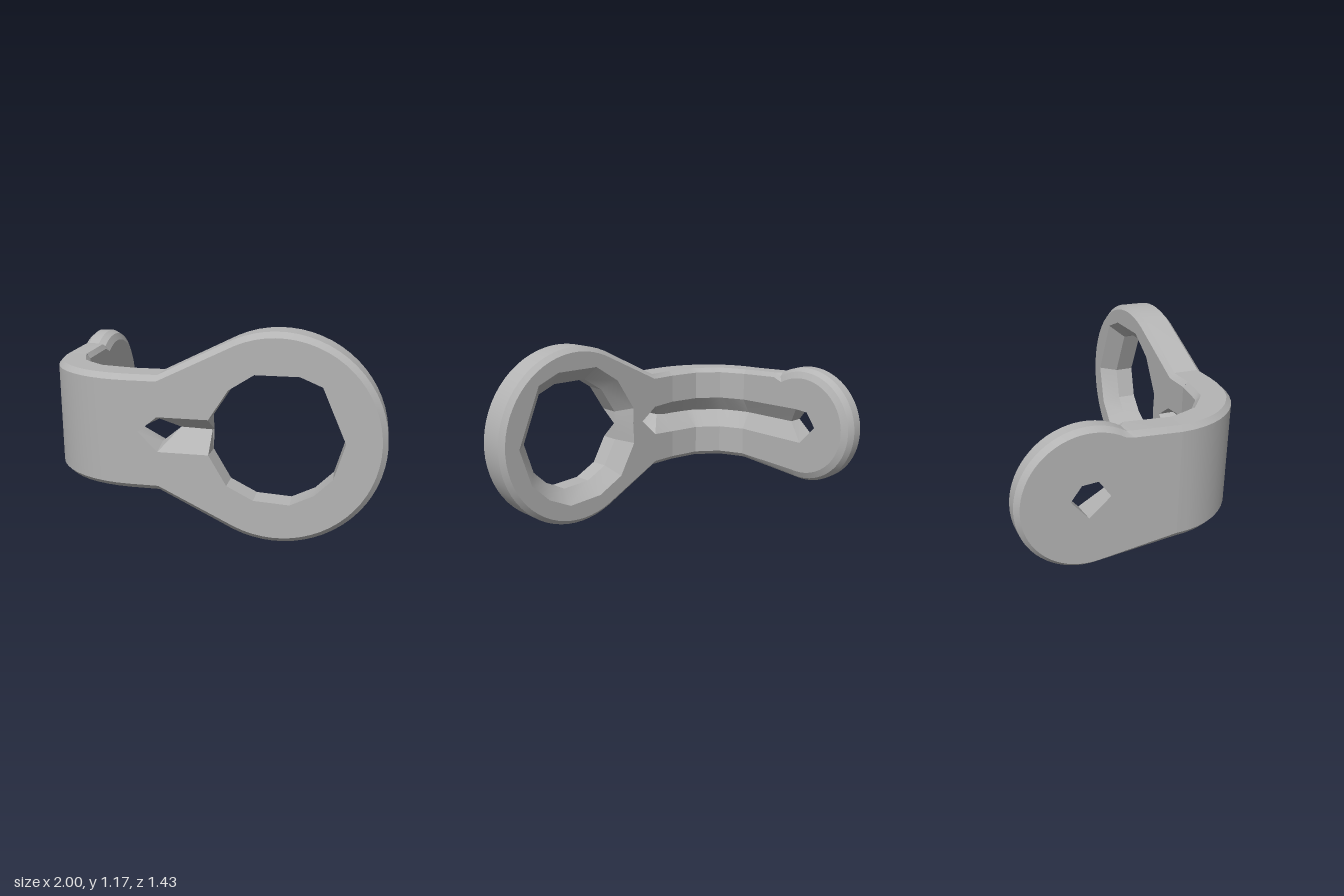
import * as THREE from 'three';
import { toCreasedNormals } from 'three/addons/utils/BufferGeometryUtils.js';

const MID = 0.592; // height of the centre line
const BOTTOM = 0.26, TOP = 0.92; // edges of the strap

// Collects faces given as local [along, height, depth from outer face]
class Skin {
  constructor(map, flip = false) { this.map = map; this.flip = flip; this.pos = []; }
  fan(...p) {
    for (let i = 1; i < p.length - 1; i++) {
      const t = this.flip ? [p[0], p[i + 1], p[i]] : [p[0], p[i], p[i + 1]];
      t.forEach(v => this.pos.push(...this.map(v)));
    }
  }
  join(A, B, closed = false) {
    const n = A.length;
    for (let i = 0; i < (closed ? n : n - 1); i++) {
      const j = (i + 1) % n;
      this.fan(A[i], A[j], B[j], B[i]);
    }
  }
  cap(outline, holes, outer) {
    const flat = l => l.map(p => new THREE.Vector2(p[0], p[1]));
    const all = [outline, ...holes].flat();
    for (const [a, b, c] of THREE.ShapeUtils.triangulateShape(flat(outline), holes.map(flat))) {
      const ccw = THREE.ShapeUtils.area(flat([all[a], all[b], all[c]])) > 0;
      if (ccw === outer) this.fan(all[a], all[b], all[c]);
      else this.fan(all[a], all[c], all[b]);
    }
  }
  mesh(name, material) {
    const g = new THREE.BufferGeometry();
    g.setAttribute('position', new THREE.Float32BufferAttribute(this.pos, 3));
    const m = new THREE.Mesh(toCreasedNormals(g, 0.4), material);
    m.name = name;
    return m;
  }
}

const atDepth = (pts, d) => pts.map(([a, y]) => [a, y, d]);

function arc(cx, r, from, to, d, n = 40) {
  const pts = [];
  for (let i = 0; i <= n; i++) {
    const t = THREE.MathUtils.degToRad(from + (to - from) * i / n);
    pts.push([cx + r * Math.cos(t), MID + r * Math.sin(t), d]);
  }
  return pts;
}

// Front plate with the large faceted opening
function ringPlate(material) {
  const t = 0.22, m = 0.115, s = new Skin(([a, y, d]) => [a, y, 0.715 - d]);
  const outline = (inset, d) => [
    [-0.42, BOTTOM + inset, d], [-0.25, BOTTOM + inset, d],
    ...arc(0.41, 0.587 - inset, -114, 114, d),
    [-0.25, TOP - inset, d], [-0.42, TOP - inset, d],
  ];
  const rims = [outline(0.03, 0), outline(0, 0.03), outline(0, t - 0.03), outline(0.03, t)];
  for (let i = 0; i < 3; i++) s.join(rims[i + 1], rims[i]);

  // Large opening, flared toward the back
  const opening = [[0.04, 0.49], [0.14, 0.32], [0.29, 0.245], [0.49, 0.235], [0.62, 0.3], [0.72, 0.4],
    [0.78, 0.6], [0.65, 0.9], [0.53, 0.95], [0.29, 0.95], [0.15, 0.86], [0.04, 0.69]];
  const scaled = (k, d) => [...opening, [0.045, 0.605]].map(([a, y]) => [0.41 + (a - 0.41) * k, 0.597 + (y - 0.597) * k, d]);
  const HR = [0.04, 0.605, m];
  const front = [...atDepth(opening, 0), HR];
  const middle = scaled(0.99, m + 0.01), back = scaled(1.24, t);
  s.join(front, middle, true);
  s.join(middle, back, true);

  // Slot through the neck, with a groove in front leading to the opening
  const FL = [-0.36, 0.6, 0], FB = [-0.25, 0.49, 0], FT = [-0.25, 0.69, 0];
  const FBR = front[0], FTR = front[11];
  const L = [-0.36, 0.6, m], B = [-0.25, 0.52, m], R = [-0.14, 0.61, m], T = [-0.25, 0.66, m];
  const BB = [-0.25, 0.49, t], BR = [-0.13, 0.605, t], BT = [-0.25, 0.69, t];
  const EB = [-0.42, 0.48, t], ET = [-0.42, 0.7, t], G = [-0.42, 0.595, 0.61 * t];
  s.join([FT, FL, FB], [T, L, B]);
  s.fan(FB, FBR, HR, R, B);
  s.fan(FT, T, R, HR, FTR);
  s.join([B, R, T], [BB, BR, BT]);
  s.fan(L, B, BB, EB, G);
  s.fan(L, G, ET, BT, T);

  s.cap(rims[0], [[FL, FB, ...front.slice(0, 12), FT]], true);
  s.cap([...rims[3], ET, BT, BR, BB, EB], [back], false);
  return s.mesh('ringPlate', material);
}

// Side plate with the rounded end and small hole
function sidePlate(material) {
  const t = 0.16, s = new Skin(([a, y, d]) => [-1 + d, y, -a], true);
  const outline = (neck, dNeck, round, dRound) => [
    [-0.18, BOTTOM + neck, dNeck],
    ...arc(0.325, 0.395 - round, -98, 121, dRound),
    [0.09, TOP + 0.012 - neck, dNeck], [-0.18, TOP - neck, dNeck],
  ];
  const rims = [outline(0.03, 0, 0.025, 0), outline(0, 0.022, 0, 0.03),
    outline(0, t - 0.022, 0, 0.1), outline(0.015, t - 0.011, 0.022, 0.14), outline(0.03, t, 0.065, t)];
  for (let i = 0; i < rims.length - 1; i++) s.join(rims[i + 1], rims[i]);

  // Hole, fed by the groove on the inner face
  const O = atDepth([[0.21, 0.595], [0.28, 0.69], [0.37, 0.682], [0.43, 0.6], [0.33, 0.488]], 0);
  const I = atDepth([[0.21, 0.595], [0.29, 0.705], [0.38, 0.695], [0.445, 0.6], [0.33, 0.473]], t);
  const E0 = [-0.18, 0.48, t], E1 = [-0.18, 0.7, t];
  const G0 = [-0.18, 0.595, 0.61 * t], G1 = [0.21, 0.595, 0.61 * t];
  s.fan(I[1], O[1], O[0], G1, G0, E1);
  s.fan(I[4], E0, G0, G1, O[0], O[4]);
  s.join([O[4], O[3], O[2], O[1]], [I[4], I[3], I[2], I[1]]);

  s.cap(rims[0], [O], true);
  s.cap([...rims[4], E1, I[1], I[2], I[3], I[4], E0], [], false);
  return s.mesh('sidePlate', material);
}

// Curved corner: one grooved cross-section carried round the bend
function bend(material) {
  const section = [[0.29, 0], [BOTTOM, 0.14], [BOTTOM, 0.86], [0.29, 1], [0.48, 1], [0.595, 0.61],
    [0.7, 1], [0.89, 1], [TOP, 0.86], [TOP, 0.14], [0.89, 0]];
  const inner = [[-0.84, 0.18], [-0.77, 0.35], [-0.63, 0.46], [-0.42, 0.495]];
  const s = new Skin(p => p), steps = 12, per = steps / 3;
  const loops = [];
  for (let k = 0; k <= steps; k++) {
    const th = k / steps * Math.PI / 2;
    const ox = -0.42 - 0.58 * Math.cos(th), oz = 0.18 + 0.535 * Math.sin(th);
    const i = Math.min(Math.floor(k / per), 2), f = k / per - i;
    const ix = THREE.MathUtils.lerp(inner[i][0], inner[i + 1][0], f);
    const iz = THREE.MathUtils.lerp(inner[i][1], inner[i + 1][1], f);
    loops.push(section.map(([y, u]) => [ox + (ix - ox) * u, y, oz + (iz - oz) * u]));
  }
  for (let k = 0; k < steps; k++) s.join(loops[k], loops[k + 1], true);
  return s.mesh('bend', material);
}

export function createModel() {
  const metal = new THREE.MeshStandardMaterial({ color: 0xb4b4b4 });
  metal.name = 'grey metal';
  const group = new THREE.Group();
  group.name = 'bracket';
  group.add(ringPlate(metal), bend(metal), sidePlate(metal));
  return group;
}
